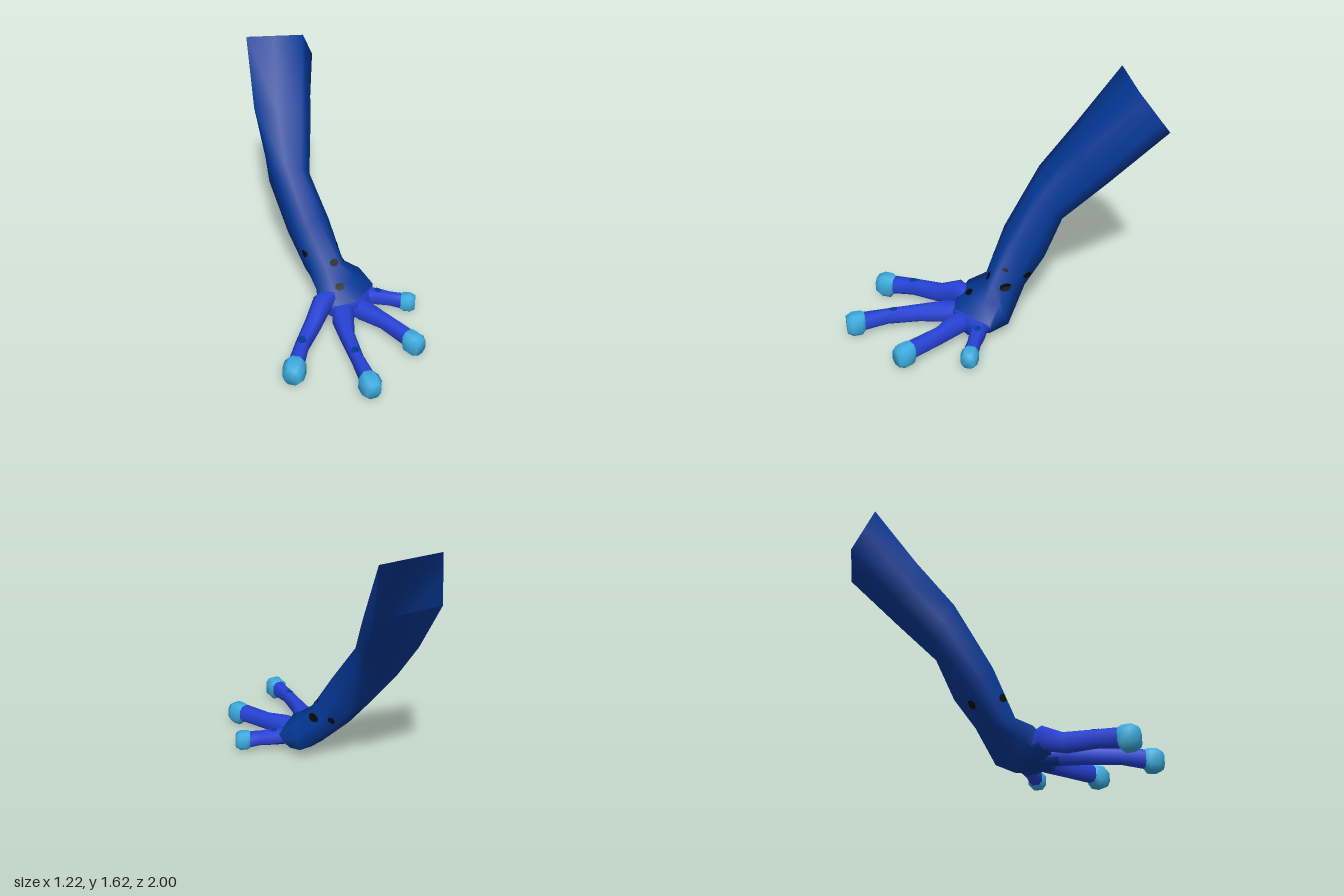
import * as THREE from 'three';

const V = (p) => new THREE.Vector3(p[0], p[1], p[2]);
const mat = (name, color, side = THREE.FrontSide) => {
  const m = new THREE.MeshStandardMaterial({ color, side });
  m.name = name;
  return m;
};

// Skin a list of equal-length rings, counterclockwise seen from the last ring
function loft(rings, capEnd) {
  const n = rings[0].length, pos = [], idx = [];
  rings.forEach((r) => r.forEach((p) => pos.push(p.x, p.y, p.z)));
  for (let i = 0; i < rings.length - 1; i++) {
    for (let k = 0; k < n; k++) {
      const a = i * n + k, b = i * n + (k + 1) % n;
      idx.push(a, b, a + n, b, b + n, a + n);
    }
  }
  if (capEnd) {
    const last = rings[rings.length - 1], base = (rings.length - 1) * n;
    const c = last.reduce((s, p) => s.add(p), new THREE.Vector3()).divideScalar(n);
    pos.push(c.x, c.y, c.z);
    for (let k = 0; k < n; k++) idx.push(rings.length * n, base + k, base + (k + 1) % n);
  }
  const g = new THREE.BufferGeometry();
  g.setAttribute('position', new THREE.Float32BufferAttribute(pos, 3));
  g.setIndex(idx);
  g.computeVertexNormals();
  return g;
}

// Give a run of side faces in the first band the second material
function paintFaces(g, first, count) {
  const a = first * 6, b = (first + count) * 6;
  if (a > 0) g.addGroup(0, a, 0);
  g.addGroup(a, b - a, 1);
  g.addGroup(b, g.index.count - b, 0);
  return g;
}

// Five corners plus bulged midpoints make a ten-point limb ring
function limbRing([bulge, left, top, right, heel, under]) {
  const c = [left, under, heel, right, top].map(V);
  const mid = c.reduce((s, p) => s.add(p), new THREE.Vector3()).divideScalar(5);
  return c.flatMap((p, i) => {
    const m = p.clone().lerp(c[(i + 1) % 5], 0.5);
    return [p, m.sub(mid).multiplyScalar(bulge).add(mid)];
  });
}

// Eight-sided, slightly squared upright ring across a horizontal direction
const squared = (v) => Math.sign(v) * Math.abs(v) ** 0.75;
function fingerRing(c, dir, w, h) {
  const side = new THREE.Vector3(0, 1, 0).cross(dir).normalize();
  return Array.from({ length: 8 }, (_, k) => {
    const a = (k + 0.5) * Math.PI / 4;
    return c.clone().addScaledVector(side, squared(Math.cos(a)) * w * 1.04)
      .add(new THREE.Vector3(0, squared(Math.sin(a)) * h * 1.04, 0));
  });
}

export function createModel() {
  const group = new THREE.Group();
  const skin = mat('deep blue skin', 0x043896, THREE.DoubleSide);
  const violet = mat('violet blue fingers', 0x2642d6);
  const light = mat('light blue tips', 0x3cacdf);
  const black = mat('black spots', 0x060608, THREE.DoubleSide);
  const add = (name, geo, m) => {
    const mesh = new THREE.Mesh(geo, m);
    mesh.name = name;
    group.add(mesh);
    return mesh;
  };

  // Arm, wrist and palm: bulge, then left, top, right, heel and underside corners
  const limb = [
    [1.0, [0.08, 1.635, -0.89], [0.44, 1.61, -0.75], [0.523, 1.492, -0.815], [0.605, 1.375, -0.88], [0.2, 1.385, -1.0]],
    [1.03, [-0.035, 1.25, -0.63], [0.22, 1.22, -0.45], [0.33, 1.12, -0.5], [0.385, 1.0, -0.6], [0.07, 1.02, -0.73]],
    [1.06, [-0.075, 0.98, -0.38], [0.09, 0.92, -0.27], [0.175, 0.84, -0.29], [0.2, 0.71, -0.39], [-0.02, 0.74, -0.49]],
    [1.08, [-0.07, 0.6, -0.11], [0.09, 0.64, -0.07], [0.185, 0.59, -0.08], [0.2, 0.46, -0.26], [-0.03, 0.46, -0.25]],
    [1.08, [-0.03, 0.31, 0.05], [0.13, 0.345, 0.14], [0.195, 0.33, 0.08], [0.2, 0.29, -0.11], [-0.01, 0.25, -0.07]],
    [1.06, [-0.08, 0.255, 0.16], [0.12, 0.265, 0.25], [0.29, 0.26, 0.14], [0.3, 0.1, 0.075], [0.08, 0.075, 0.1]],
    [1.06, [-0.11, 0.15, 0.23], [0.1, 0.195, 0.36], [0.335, 0.165, 0.24], [0.28, 0.06, 0.2], [0.06, 0.045, 0.21]],
    [1.06, [-0.06, 0.11, 0.29], [0.1, 0.165, 0.375], [0.28, 0.12, 0.31], [0.22, 0.05, 0.33], [0.04, 0.045, 0.345]],
  ].map(limbRing);
  const arm = add('arm', loft(limb.slice(0, 7), false), skin);
  add('knuckles', paintFaces(loft(limb.slice(6), true), 0, 4), [violet, skin]);

  // Fingers: path points as x, y, z, half width, half height; then tip size
  const fingers = [
    { name: 'outerFinger', tip: 1, path: [[0.04, 0.175, 0.2, 0.05, 0.06], [-0.09, 0.18, 0.235, 0.062, 0.078],
      [-0.21, 0.125, 0.31, 0.052, 0.062], [-0.38, 0.113, 0.43, 0.042, 0.055], [-0.485, 0.1, 0.525, 0.047, 0.06]] },
    { name: 'longFinger', tip: 0.95, path: [[0.06, 0.115, 0.26, 0.06, 0.055], [-0.01, 0.115, 0.37, 0.072, 0.063],
      [-0.09, 0.11, 0.53, 0.045, 0.055], [-0.16, 0.11, 0.73, 0.037, 0.05], [-0.2, 0.1, 0.875, 0.045, 0.058]] },
    { name: 'middleFinger', tip: 0.93, path: [[0.13, 0.115, 0.26, 0.06, 0.055], [0.155, 0.115, 0.39, 0.066, 0.062],
      [0.2, 0.11, 0.53, 0.046, 0.055], [0.233, 0.105, 0.74, 0.05, 0.056]] },
    { name: 'innerFinger', tip: 0.78, path: [[0.24, 0.12, 0.24, 0.045, 0.045], [0.31, 0.115, 0.31, 0.05, 0.052],
      [0.38, 0.105, 0.375, 0.04, 0.046], [0.435, 0.095, 0.425, 0.045, 0.05]] },
  ];
  const meshes = {};
  for (const { name, tip, path } of fingers) {
    const pts = path.map(V);
    const dirs = pts.map((p, i) => pts[Math.min(i + 1, pts.length - 1)].clone()
      .sub(pts[Math.max(i - 1, 0)]).setY(0).normalize());
    const rings = path.map((p, i) => fingerRing(pts[i], dirs[i], p[3], p[4]));
    meshes[name] = add(name, paintFaces(loft(rings, false), 4, 3), [violet, skin]);
    // Blocky rounded fingertip
    const end = pts[pts.length - 1], dir = dirs[dirs.length - 1];
    const knob = [[0.025, 0.07, 0.079], [0.085, 0.07, 0.08], [0.125, 0.05, 0.06]].map(([d, w, h]) =>
      fingerRing(end.clone().addScaledVector(dir, d * tip).setY(0.09), dir, w * tip, h * tip));
    add(name + 'Tip', loft([rings[rings.length - 1], ...knob], true), light);
  }

  // Thin spots laid onto a surface along a given normal
  const ray = new THREE.Raycaster();
  function spot(name, target, at, normal, rx, ry, m) {
    const n = V(normal).normalize(), back = n.clone().negate();
    const q = new THREE.Quaternion().setFromUnitVectors(new THREE.Vector3(0, 0, 1), n);
    const g = new THREE.RingGeometry(0.001, 1, 10, 3);
    const pos = g.attributes.position;
    for (let i = 0; i < pos.count; i++) {
      const v = new THREE.Vector3(pos.getX(i) * rx, pos.getY(i) * ry, 0)
        .applyQuaternion(q).add(V(at));
      ray.set(v.clone().addScaledVector(n, 0.12), back);
      const hit = ray.intersectObject(target)[0];
      if (hit) v.copy(hit.point);
      v.addScaledVector(n, 0.003);
      pos.setXYZ(i, v.x, v.y, v.z);
    }
    g.computeVertexNormals();
    add(name, g, m);
  }
  group.updateMatrixWorld(true);
  [
    [[0.1, 0.37, 0.11], [0, 0.6, 0.8], 0.027, 0.027],
    [[0.06, 0.27, 0.24], [0, 0.7, 0.7], 0.033, 0.026],
    [[0.2, 0.32, 0.04], [1, 0.1, 0.1], 0.045, 0.025],
    [[0.19, 0.36, -0.125], [1, -0.1, -0.1], 0.032, 0.02],
    [[0.19, 0.435, 0.03], [1, 0, 0], 0.015, 0.012],
    [[-0.05, 0.42, -0.03], [-1, 0, -0.1], 0.026, 0.028],
    [[0.05, 0.38, -0.2], [0, -0.7, -0.7], 0.032, 0.032],
  ].forEach(([p, n, rx, ry], i) => spot('armSpot' + (i + 1), arm, p, n, rx, ry, black));

  // Blue patches on the fingers
  [
    ['outerFinger', [-0.38, 0.165, 0.43], 0.03],
    ['longFinger', [-0.15, 0.16, 0.69], 0.027],
    ['innerFinger', [0.32, 0.165, 0.315], 0.024],
  ].forEach(([f, p, r]) => spot(f + 'Patch', meshes[f], p, [0, 1, 0], r, r, skin));

  return group;
}
